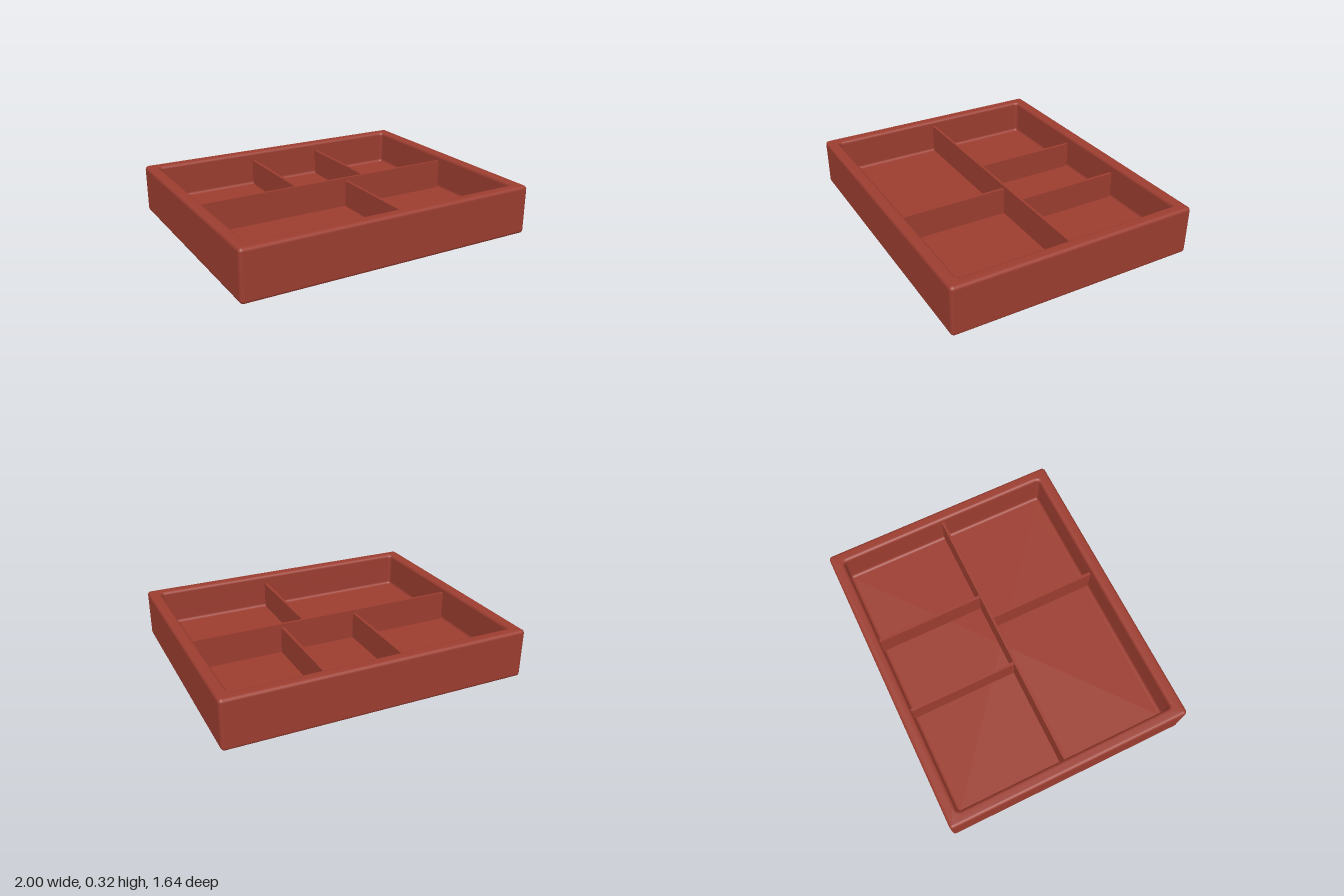
import * as THREE from 'three';

const W = 1, D = 0.82, H = 0.325;      // half width, half depth, height
const WALL = 0.08, FLOOR = 0.085;      // wall thickness, floor level
const R = 0.022, STEPS = 5;            // edge rounding

// Wall cross-section as [inset from outside, height]: up the outside, over the rim, down to the floor
function wallProfile() {
  const arcs = [
    (s, c) => [R * (1 - s), R * (1 - c)],
    (s, c) => [R * (1 - c), H - R * (1 - s)],
    (s, c) => [WALL - R * (1 - s), H - R * (1 - c)],
    (s, c) => [WALL + R * (1 - c), FLOOR + R * (1 - s)],
  ];
  const points = [];
  for (const arc of arcs) {
    for (let i = 0; i <= STEPS; i++) {
      const t = (i / STEPS) * Math.PI / 2;
      points.push(arc(Math.sin(t), Math.cos(t)));
    }
  }
  return points;
}

// Rounded rectangle ring at a given inset
function ring(inset, y) {
  const r = (inset < WALL / 2 ? R : WALL + R) + 0.002 - inset;
  const points = [];
  [[1, 1], [-1, 1], [-1, -1], [1, -1]].forEach(([sx, sz], k) => {
    for (let i = 0; i <= STEPS; i++) {
      const a = (k + i / STEPS) * Math.PI / 2;
      points.push(sx * (W - inset - r) + r * Math.cos(a), y, sz * (D - inset - r) + r * Math.sin(a));
    }
  });
  return points;
}

// Whole tray skin: rings joined in sequence, closed by underside and floor fans
function trayGeometry() {
  const profile = wallProfile();
  const n = 4 * (STEPS + 1);
  const positions = profile.flatMap(([inset, y]) => ring(inset, y));
  const index = [];
  const last = (profile.length - 1) * n;
  const under = profile.length * n, floor = under + 1;
  positions.push(0, 0, 0, 0, FLOOR, 0);
  for (let i = 0; i < n; i++) {
    const k = (i + 1) % n;
    for (let j = 0; j < last; j += n) {
      index.push(j + i, j + n + i, j + k, j + k, j + n + i, j + n + k);
    }
    index.push(under, i, k, floor, last + k, last + i);
  }
  const geometry = new THREE.BufferGeometry();
  geometry.setAttribute('position', new THREE.Float32BufferAttribute(positions, 3));
  geometry.setIndex(index);
  geometry.computeVertexNormals();
  return geometry;
}

export function createModel() {
  const model = new THREE.Group();
  model.name = 'dividedTray';
  const red = new THREE.MeshStandardMaterial({ color: 0x9c3d30 });
  red.name = 'brickRed';

  const add = (name, geometry) => {
    const mesh = new THREE.Mesh(geometry, red);
    mesh.name = name;
    model.add(mesh);
    return mesh;
  };

  add('tray', trayGeometry());

  // Upright divider panel, standing slightly sunk into the floor
  const divider = (name, x0, x1, z0, z1, top) => {
    const base = FLOOR - 0.01;
    add(name, new THREE.BoxGeometry(x1 - x0, top - base, z1 - z0))
      .position.set((x0 + x1) / 2, (top + base) / 2, (z0 + z1) / 2);
  };

  const inX = W - WALL + 0.005, inZ = D - WALL + 0.005;
  divider('longDivider', -inX, inX, -0.013, 0.004, 0.287);
  [-0.21, 0.312].forEach((x, i) =>
    divider('backDivider' + (i + 1), x - 0.01, x + 0.01, -inZ, -0.01, 0.265));
  divider('frontDivider', 0.131, 0.151, 0, inZ, 0.265);

  return model;
}
